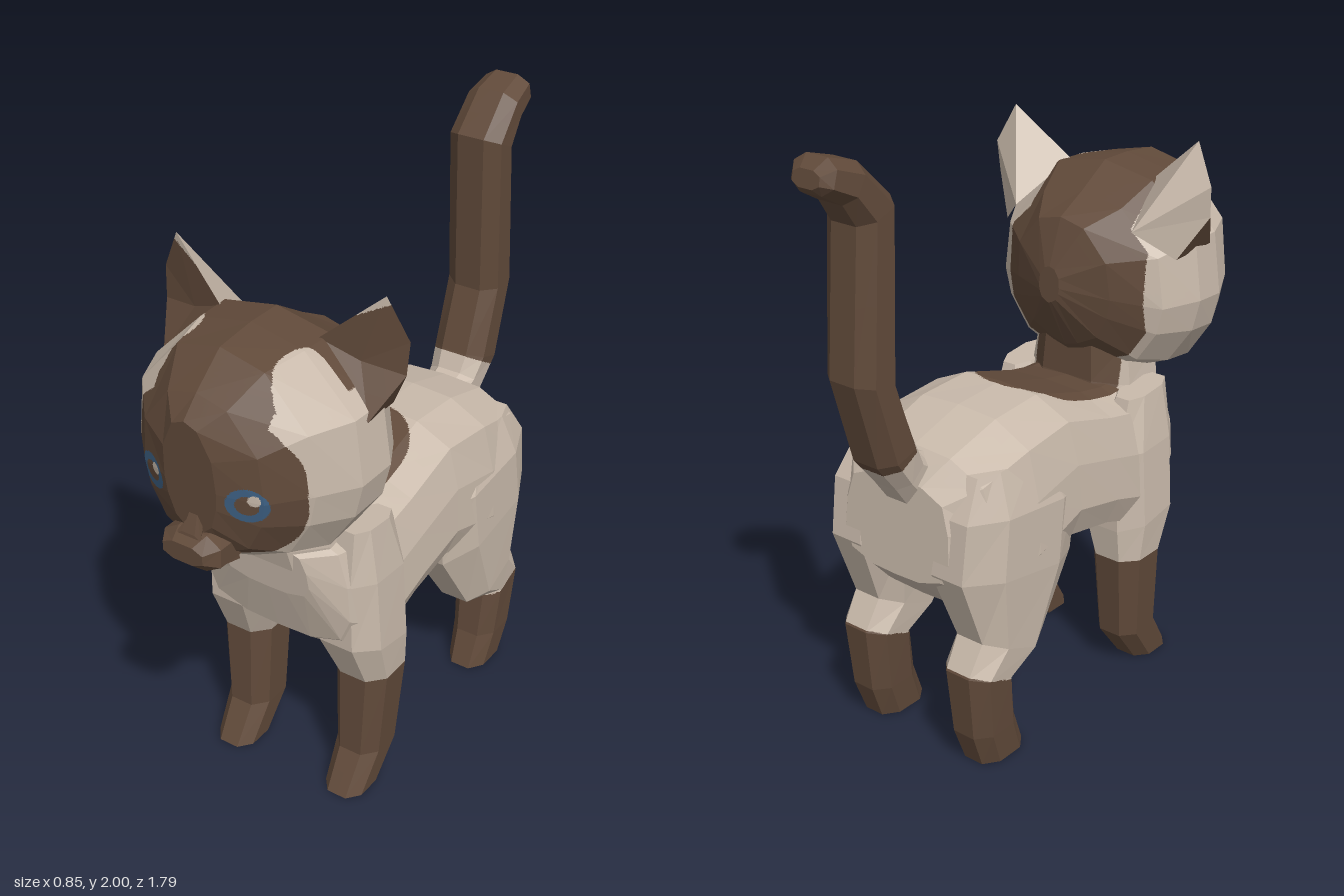
import * as THREE from 'three';

const mat = (name, color) => Object.assign(new THREE.MeshStandardMaterial({ color }), { name });
const materials = [mat('cream fur', 0xc8b9aa), mat('brown fur', 0x614a3a), mat('blue eye', 0x3c5f82)];
const CREAM = 0, BROWN = 1, BLUE = 2;
const V = (x, y, z) => new THREE.Vector3(x, y, z);

// Half outlines of cross-sections (across, along), mirrored to full rings.
const full = half => [...half, ...half.filter(p => p[0] > 0).reverse().map(p => [-p[0], p[1]])];
const OCT = full([[0.5, 1], [1, 0.5], [1, -0.5], [0.5, -1]]);
const TORSO = full([[0, 1], [0.45, 0.97], [0.85, 0.74], [0.97, 0.2], [1, -0.4], [0.87, -0.8], [0.45, -0.98], [0, -1]]);
const HEAD = full([[0, 1], [0.48, 0.9], [0.93, 0.45], [1, -0.1], [0.93, -0.4], [0.7, -0.75], [0.28, -0.93], [0, -1]]);

// Closed skin over rings; each ring is [z0, y0, z1, y1, halfWidth, x], spanning two points of the side profile.
function loft(section, rings) {
  const pts = rings.map(([z0, y0, z1, y1, w, x = 0]) => section.map(([u, v]) =>
    V(x + u * w, (y0 + y1) / 2 + v * (y1 - y0) / 2, (z0 + z1) / 2 + v * (z1 - z0) / 2)));
  const tris = [], n = section.length;
  for (let r = 0; r + 1 < pts.length; r++) for (let i = 0; i < n; i++) {
    const j = (i + 1) % n, a = pts[r], b = pts[r + 1];
    tris.push([a[i], a[j], b[j]], [a[i], b[j], b[i]]);
  }
  const cap = (ring, flip) => {
    const c = ring.reduce((s, p) => s.add(p), V(0, 0, 0)).divideScalar(n);
    ring.forEach((p, i) => {
      const q = ring[(i + 1) % n];
      tris.push(flip ? [c, q, p] : [c, p, q]);
    });
  };
  cap(pts[0], true);
  cap(pts[pts.length - 1], false);
  // Turn the skin outward if its volume is negative.
  const o = pts[0][0];
  const volume = tris.reduce((s, [a, b, c]) =>
    s + a.clone().sub(o).dot(b.clone().sub(o).cross(c.clone().sub(o))), 0);
  return volume < 0 ? tris.map(([a, b, c]) => [a, c, b]) : tris;
}

// Splits flat faces along colour borders, one geometry group per colour.
function paint(name, tris, pick, min = 0, max = 5) {
  const buckets = materials.map(() => []);
  const visit = (a, b, c, depth) => {
    const k = pick(a), mixed = pick(b) !== k || pick(c) !== k;
    if (depth < min || (mixed && depth < max)) {
      const ab = a.clone().lerp(b, 0.5), bc = b.clone().lerp(c, 0.5), ca = c.clone().lerp(a, 0.5);
      visit(a, ab, ca, depth + 1);
      visit(ab, b, bc, depth + 1);
      visit(ca, bc, c, depth + 1);
      visit(ab, bc, ca, depth + 1);
    } else {
      const mid = a.clone().add(b).add(c).divideScalar(3);
      for (const p of [a, b, c]) buckets[pick(mid)].push(p.x, p.y, p.z);
    }
  };
  tris.forEach(([a, b, c]) => visit(a, b, c, 0));
  const geo = new THREE.BufferGeometry();
  geo.setAttribute('position', new THREE.Float32BufferAttribute(buckets.flat(), 3));
  let start = 0;
  buckets.forEach((list, i) => {
    if (list.length) geo.addGroup(start, list.length / 3, i);
    start += list.length / 3;
  });
  geo.computeVertexNormals();
  const mesh = new THREE.Mesh(geo, materials);
  mesh.name = name;
  return mesh;
}

// Saddle patch on the back, running up into the nape.
const backColor = p => {
  const inside = p.z > 0.05 ? Math.abs(p.x) < 0.18 : Math.hypot(p.x / 0.18, (p.z - 0.05) / 0.17) < 1;
  return inside && p.y > 0.95 && p.z < 0.31 ? BROWN : CREAM;
};

// Face mask, crown with pale brow spots, back of the head and eyes.
function headColor(p) {
  const ax = Math.abs(p.x);
  if (p.z > 0.6) {
    const r = Math.hypot(ax - 0.165, p.y - 1.3);
    const side = Math.sign(p.x) * 0.165;
    if (Math.hypot(p.x - side - 0.02, p.y - 1.318) < 0.018) return CREAM;
    if (r < 0.056 && r > 0.032) return BLUE;
    if ((ax / 0.295) ** 2.4 + (Math.abs(p.y - 1.32) / 0.25) ** 2.4 < 1) return BROWN;
  }
  if (p.y > 1.4 && p.z > 0.3) {
    // Brow spot with rounded inner end, between mask and ear
    const spot = ax > 0.22 ? Math.abs(p.z - 0.615) < 0.105
      : Math.hypot((ax - 0.22) / 0.07, (p.z - 0.615) / 0.105) < 1;
    if (!spot && (ax < 0.2 || (p.y > 1.56 && p.z > 0.42))) return BROWN;
  }
  return p.z < 0.3 && ax < 0.27 ? BROWN : CREAM;
}

export function createModel() {
  const cat = new THREE.Group();
  cat.name = 'cat';
  const brown = () => BROWN;

  // Torso
  cat.add(paint('torso', loft(TORSO, [
    [0.52, 0.78, 0.54, 0.97, 0.16], [0.47, 0.6, 0.47, 1.01, 0.27], [0.39, 0.53, 0.39, 1.02, 0.3],
    [0.24, 0.52, 0.24, 1.02, 0.315], [0.1, 0.57, 0.13, 1.04, 0.315], [-0.08, 0.6, -0.1, 1.11, 0.315],
    [-0.3, 0.52, -0.3, 1.1, 0.325], [-0.48, 0.52, -0.5, 1.04, 0.31], [-0.6, 0.64, -0.58, 0.96, 0.21],
  ]), backColor, 2));

  // Neck
  cat.add(paint('neck', loft(OCT, [
    [0.2, 0.88, 0.52, 0.84, 0.22], [0.24, 1.02, 0.55, 0.96, 0.2], [0.25, 1.18, 0.56, 1.06, 0.18],
  ]), p => p.z < 0.33 && Math.abs(p.x) < 0.17 && p.y > 1 ? BROWN : CREAM, 2));

  // Head
  cat.add(paint('head', loft(HEAD, [
    [0.84, 1.16, 0.86, 1.54, 0.09], [0.785, 1.07, 0.8, 1.6, 0.21], [0.69, 1.01, 0.69, 1.69, 0.31],
    [0.56, 0.97, 0.55, 1.705, 0.375], [0.43, 0.99, 0.43, 1.705, 0.385], [0.32, 1.03, 0.31, 1.63, 0.32],
    [0.23, 1.13, 0.2, 1.57, 0.185], [0.14, 1.3, 0.145, 1.42, 0.04],
  ]), headColor, 3));

  // Muzzle
  cat.add(paint('noseBridge', loft(OCT, [[0.8, 1.12, 0.84, 1.24, 0.025], [0.88, 1.13, 0.87, 1.18, 0.045]]), brown));
  cat.add(paint('nose', loft(OCT, [
    [0.76, 1.06, 0.78, 1.18, 0.1], [0.86, 1.065, 0.85, 1.18, 0.1], [0.9, 1.1, 0.9, 1.16, 0.07],
  ]), brown));
  cat.add(paint('chin', loft(OCT, [[0.74, 1.03, 0.76, 1.12, 0.08], [0.82, 1.035, 0.86, 1.1, 0.05]]), brown));

  for (const s of [1, -1]) {
    const side = s > 0 ? 'left' : 'right';

    // Ear: hollow brown front, pale back
    const [inner, tip, outer, flare, base, hollow, rear, under] = [
      [0.17, 1.67, 0.47], [0.36, 1.83, 0.42], [0.425, 1.7, 0.4], [0.42, 1.6, 0.41], [0.36, 1.48, 0.51],
      [0.29, 1.62, 0.44], [0.23, 1.55, 0.26], [0.34, 1.46, 0.35],
    ].map(([x, y, z]) => V(s * x, y, z));
    const wind = tris => s > 0 ? tris : tris.map(([a, b, c]) => [a, c, b]);
    cat.add(paint(side + 'EarFront', wind([
      [inner, base, hollow], [base, flare, hollow], [flare, outer, hollow], [outer, tip, hollow], [tip, inner, hollow],
    ]), p => p.y - Math.abs(p.x) * 0.5 > 1.62 ? CREAM : BROWN, 1));
    cat.add(paint(side + 'EarBack', wind([
      [inner, tip, rear], [tip, outer, rear], [outer, flare, rear], [flare, under, rear],
    ]), () => CREAM));
    cat.add(paint(side + 'EarBase', wind([[flare, base, under]]), brown));

    // Front leg
    cat.add(paint(side + 'FrontLeg', loft(OCT, [
      [0.31, 0, 0.48, 0, 0.07, s * 0.22], [0.21, 0.13, 0.4, 0.13, 0.08, s * 0.22],
      [0.18, 0.435, 0.39, 0.435, 0.095, s * 0.225], [0.17, 0.55, 0.46, 0.6, 0.12, s * 0.21],
      [0.17, 0.82, 0.46, 0.84, 0.1, s * 0.215], [0.23, 1.0, 0.43, 1.02, 0.05, s * 0.235],
    ]), p => p.y < 0.435 ? BROWN : CREAM, 1));

    // Hind leg with thigh and hock
    cat.add(paint(side + 'HindLeg', loft(OCT, [
      [-0.5, 0, -0.305, 0, 0.07, s * 0.215], [-0.545, 0.12, -0.35, 0.12, 0.08, s * 0.215],
      [-0.57, 0.35, -0.37, 0.29, 0.09, s * 0.215], [-0.51, 0.45, -0.25, 0.34, 0.1, s * 0.215],
      [-0.6, 0.69, -0.08, 0.6, 0.12, s * 0.205], [-0.575, 0.88, -0.05, 0.82, 0.105, s * 0.215],
      [-0.5, 1.0, -0.2, 1.0, 0.05, s * 0.22],
    ]), p => p.y < 0.29 + Math.max(0, -0.4 - p.z) * 0.4 ? BROWN : CREAM, 1));
  }

  // Tail with a curled tip
  cat.add(paint('tail', loft(OCT, [
    [-0.58, 0.88, -0.48, 1.02, 0.08], [-0.63, 0.95, -0.53, 1.04, 0.085], [-0.71, 1.05, -0.56, 1.1, 0.095],
    [-0.79, 1.33, -0.635, 1.31, 0.095], [-0.755, 1.79, -0.62, 1.85, 0.095], [-0.8, 1.86, -0.74, 1.97, 0.09],
    [-0.87, 1.9, -0.84, 2.0, 0.08], [-0.89, 1.92, -0.88, 1.97, 0.05],
  ]), p => p.y > 1.08 + (p.z + 0.58) * 0.6 ? BROWN : CREAM, 1));

  return cat;
}
